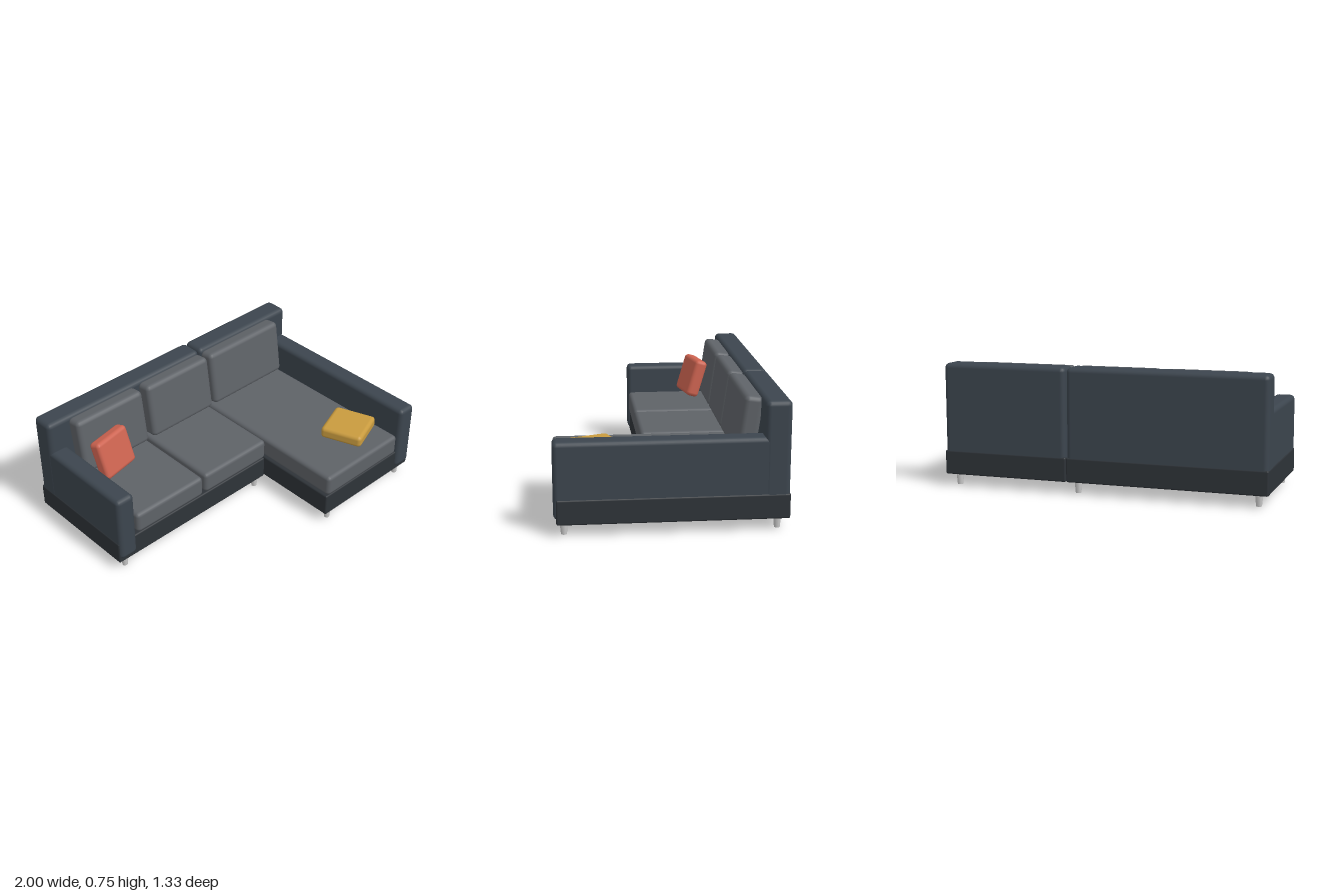
import * as THREE from 'three';
import { RoundedBoxGeometry } from 'three/addons/geometries/RoundedBoxGeometry.js';

const mat = (color) => new THREE.MeshStandardMaterial({ color });

export function createModel() {
  const sofa = new THREE.Group();
  sofa.name = 'cornerSofa';
  const frameMat = mat(0x2e3338);
  const bodyMat = mat(0x3c454e);
  const cushionMat = mat(0x5e6267);
  const legMat = mat(0xcccccc);

  // Rounded block given by its extents on each axis
  function block(name, [x0, x1], [y0, y1], [z0, z1], radius, material) {
    const geo = new RoundedBoxGeometry(x1 - x0, y1 - y0, z1 - z0, 2, radius);
    const mesh = new THREE.Mesh(geo, material);
    mesh.name = name;
    mesh.position.set((x0 + x1) / 2, (y0 + y1) / 2, (z0 + z1) / 2);
    sofa.add(mesh);
    return mesh;
  }

  // Two modules side by side: the short seat and the long chaise
  const modules = [
    { name: 'seat', x: [-1, 0.211], front: 0.12, arm: [-0.996, -0.872],
      seats: [[-0.855, -0.333], [-0.313, 0.207]],
      backs: [[-0.85, -0.345], [-0.305, 0.205]],
      legs: [[-0.935, -0.6], [0.155, -0.6], [-0.935, 0.065], [0.155, 0.065]] },
    { name: 'chaise', x: [0.214, 1], front: 0.663, arm: [0.872, 0.996],
      seats: [[0.214, 0.858]],
      backs: [[0.226, 0.842]],
      legs: [[0.935, -0.6], [0.275, 0.605], [0.935, 0.605]] },
  ];

  const legGeo = new THREE.CylinderGeometry(0.025, 0.017, 0.085, 10);

  for (const m of modules) {
    // Frame, backrest and armrest
    block(m.name + 'Base', m.x, [0.07, 0.217], [-0.663, m.front - 0.016], 0.01, frameMat);
    block(m.name + 'Backrest', [m.x[0] + 0.002, m.x[1] - 0.002], [0.1, 0.75], [-0.661, -0.512], 0.03, bodyMat);
    block(m.name + 'Armrest', m.arm, [0.098, 0.545], [-0.655, m.front], 0.028, bodyMat);

    // Seat cushions
    for (const x of m.seats) {
      block(m.name + 'Cushion', x, [0.228, 0.366], [-0.51, m.front - 0.004], 0.025, cushionMat);
    }

    // Back cushions, leaning against the backrest
    for (const x of m.backs) {
      const c = block(m.name + 'BackCushion', x, [0.375, 0.74], [-0.507, -0.397], 0.03, cushionMat);
      c.rotation.x = -0.14;
    }

    // Tapered legs
    for (const [x, z] of m.legs) {
      const leg = new THREE.Mesh(legGeo, legMat);
      leg.name = m.name + 'Leg';
      leg.position.set(x, 0.0425, z);
      sofa.add(leg);
    }
  }

  // Throw pillows: one propped up, one lying flat
  const red = block('redPillow', [-0.82, -0.555], [0.39, 0.64], [-0.352, -0.268], 0.025, mat(0xcd6350));
  red.rotation.set(-0.3, 0.2, 0, 'YXZ');
  const yellow = block('yellowPillow', [0.513, 0.787], [0.375, 0.453], [0.28, 0.554], 0.025, mat(0xc99b3e));
  yellow.rotation.y = 0.36;

  return sofa;
}
